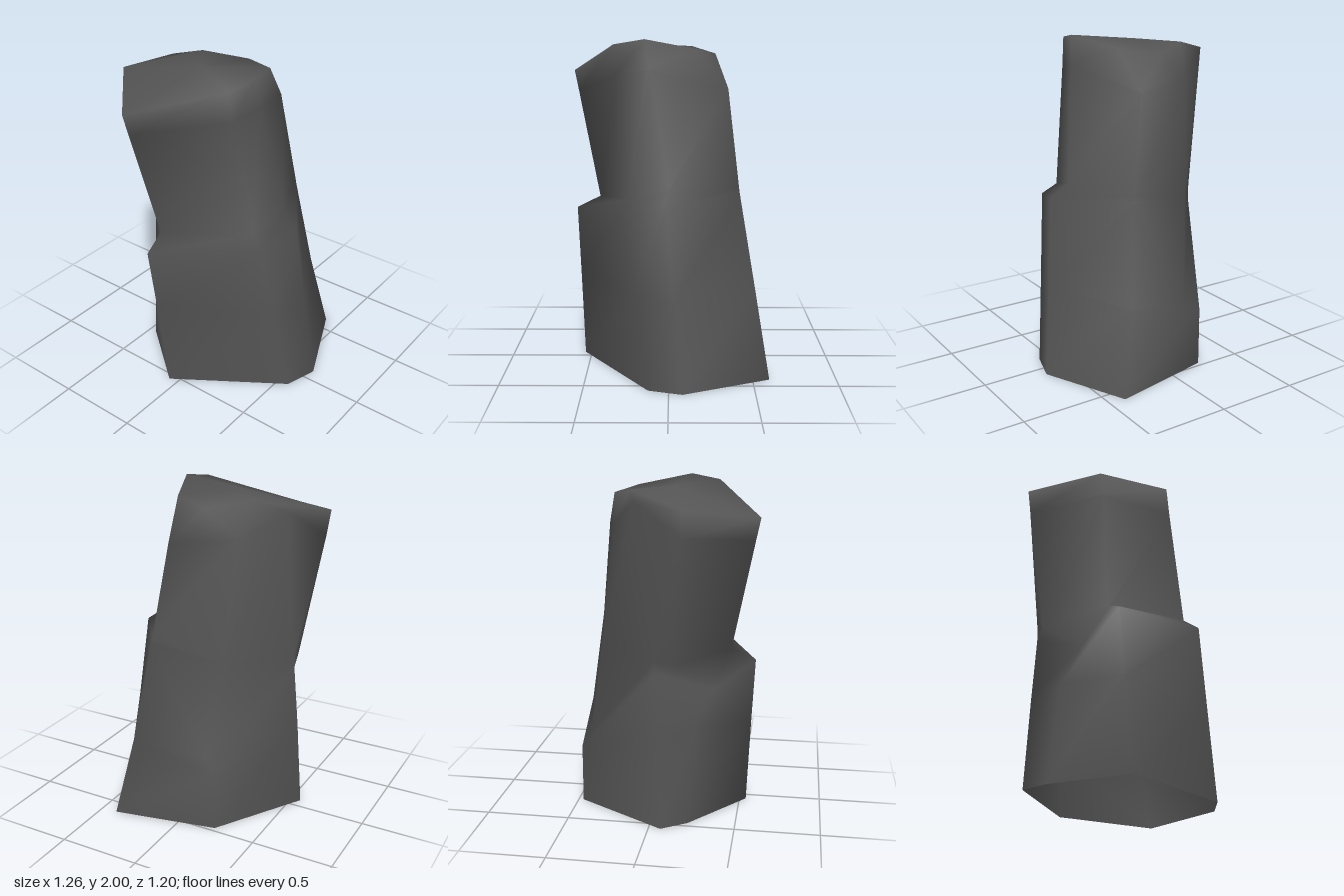
import * as THREE from 'three';

// Seven corner lines run up the rock, listed counter-clockwise from the front.
// Each row is one cross-section of [x, y, z] corners.
const rows = [
  // foot
  [[-0.06, 0, 0.54], [0.57, 0, 0.12], [0.63, 0, -0.08], [0.4, 0, -0.6], [-0.23, 0, -0.47], [-0.56, 0, 0.07], [-0.46, 0, 0.22]],
  // lower body
  [[-0.11, 0.55, 0.565], [0.5, 0.55, 0.2], [0.57, 0.55, -0.03], [0.3, 0.5, -0.52], [-0.23, 0.36, -0.47], [-0.53, 0.55, 0.05], [-0.4, 0.58, 0.25]],
  // shoulder rim, running down into the sides on the right and back
  [[-0.15, 0.94, 0.585], [0.44, 1.03, 0.27], [0.52, 1.07, 0.02], [0.22, 1.1, -0.42], [-0.14, 0.42, -0.43], [-0.505, 0.93, 0.03], [-0.3, 0.79, 0.35]],
  // inner edge of the ledge
  [[-0.17, 1.01, 0.44], [0.36, 1.09, 0.23], [0.41, 1.15, 0.0], [0.215, 1.14, -0.415], [-0.2, 1.03, -0.335], [-0.503, 1.0, 0.02], [-0.49, 0.98, 0.12]],
  // start of the back bevel
  [[-0.255, 1.67, 0.573], [0.26, 1.8, 0.303], [0.31, 1.83, 0.112], [0.13, 1.71, -0.35], [-0.25, 1.75, -0.25], [-0.49, 1.9, -0.09], [-0.61, 1.72, 0.19]],
  // top rim
  [[-0.27, 1.8, 0.6], [0.24, 1.97, 0.32], [0.29, 2, 0.14], [0.17, 1.94, -0.17], [-0.06, 1.91, -0.28], [-0.3, 1.95, -0.14], [-0.63, 1.87, 0.2]],
];

function rockGeometry() {
  const n = rows[0].length;
  const positions = rows.flat(2);
  const index = [];
  // side walls, open at the foot
  for (let j = 0; j < rows.length - 1; j++) {
    for (let i = 0; i < n; i++) {
      const a = j * n + i, b = j * n + (i + 1) % n;
      index.push(a, b, b + n, a, b + n, a + n);
    }
  }
  // slightly domed top
  const crown = rows.length * n, rim = crown - n;
  positions.push(-0.12, 1.96, 0.09);
  for (let i = 0; i < n; i++) index.push(crown, rim + i, rim + (i + 1) % n);

  // shared corners give soft, weathered shading
  const geometry = new THREE.BufferGeometry();
  geometry.setAttribute('position', new THREE.Float32BufferAttribute(positions, 3));
  geometry.setIndex(index);
  geometry.computeVertexNormals();
  return geometry;
}

export function createModel() {
  const stone = new THREE.MeshStandardMaterial({ color: 0x555555, side: THREE.DoubleSide });
  stone.name = 'dark grey stone';

  const pillar = new THREE.Mesh(rockGeometry(), stone);
  pillar.name = 'rockPillar';

  const group = new THREE.Group();
  group.name = 'rock';
  group.add(pillar);
  return group;
}
